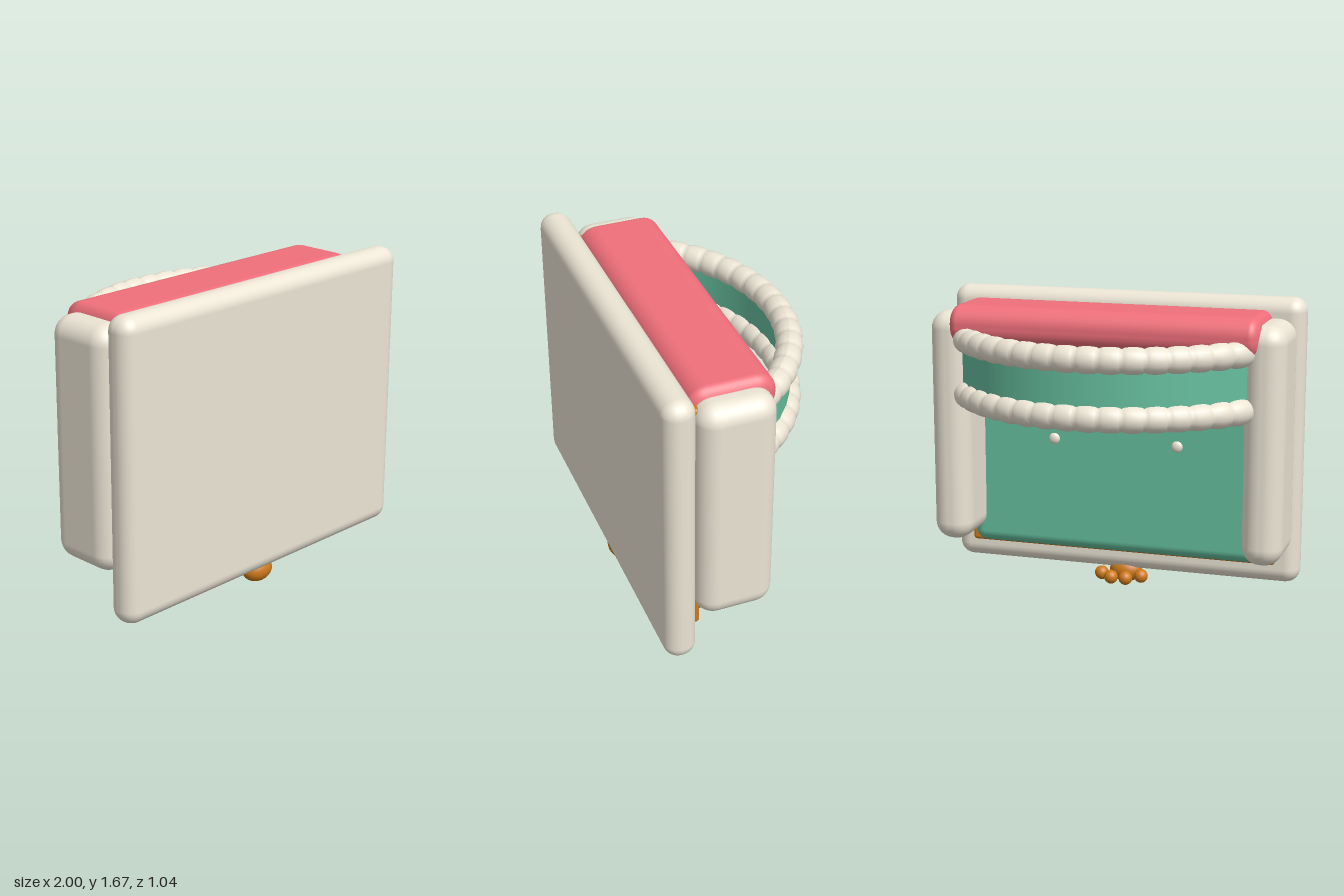
import * as THREE from 'three';
import { RoundedBoxGeometry } from 'three/addons/geometries/RoundedBoxGeometry.js';

const material = (color) => new THREE.MeshStandardMaterial({ color });
const cream = material(0xece5d5);
const green = material(0x66bf9f);
const red = material(0xf0707b);
const orange = material(0xcf7a1b);

// Carry strap arc, seen from above
const ARC_R = 0.925, ARC_Z = 0.47, ARC_HALF = 0.99;
const arcPoint = (a, y, r = ARC_R) => new THREE.Vector3(Math.sin(a) * r, y, ARC_Z - Math.cos(a) * r);

class StrapArc extends THREE.Curve {
  constructor(y) {
    super();
    this.y = y;
  }
  getPoint(t, target = new THREE.Vector3()) {
    return target.copy(arcPoint((t * 2 - 1) * ARC_HALF, this.y));
  }
}

export function createModel() {
  const model = new THREE.Group();

  const add = (name, geometry, mat, x = 0, y = 0, z = 0) => {
    const mesh = new THREE.Mesh(geometry, mat);
    mesh.name = name;
    mesh.position.set(x, y, z);
    model.add(mesh);
    return mesh;
  };

  // Rounded box given by its limits; squash narrows the rounding along x
  const pad = (name, [x0, x1], [y0, y1], [z0, z1], radius, mat, squash = 1) => {
    const geometry = new RoundedBoxGeometry((x1 - x0) / squash, y1 - y0, z1 - z0, 4, radius);
    geometry.scale(squash, 1, 1);
    return add(name, geometry, mat, (x0 + x1) / 2, (y0 + y1) / 2, (z0 + z1) / 2);
  };

  // Padded body
  pad('frontPanel', [-1, 1], [0.09, 1.67], [0.35, 0.52], 0.08, cream);
  pad('backPanel', [-0.84, 0.84], [0.23, 1.54], [0.21, 0.35], 0.065, green);
  pad('trimPlate', [-0.88, 0.88], [0.21, 1.55], [0.3, 0.34], 0.019, orange);
  pad('topRoll', [-0.855, 0.855], [1.4, 1.62], [-0.11, 0.345], 0.1, red, 0.6);
  pad('sidePadLeft', [0.76, 0.98], [0.3, 1.58], [-0.075, 0.335], 0.1, cream);
  pad('sidePadRight', [-0.98, -0.76], [0.3, 1.58], [-0.075, 0.335], 0.1, cream);

  // Curved strap band
  const band = new THREE.Shape();
  const a0 = Math.PI / 2 - ARC_HALF, a1 = Math.PI / 2 + ARC_HALF;
  band.absarc(0, 0, ARC_R + 0.012, a0, a1, false);
  band.absarc(0, 0, ARC_R - 0.012, a1, a0, true);
  const bandGeometry = new THREE.ExtrudeGeometry(band, { depth: 0.3, bevelEnabled: false, curveSegments: 48 });
  bandGeometry.rotateX(-Math.PI / 2);
  add('strapBand', bandGeometry, green, 0, 1.135, ARC_Z);

  // Beaded cords along both edges of the strap
  const BEADS = 16, STEPS = 8, SIDES = 20;
  for (const [name, y] of [['upperCord', 1.435], ['lowerCord', 1.135]]) {
    const curve = new StrapArc(y);
    const geometry = new THREE.TubeGeometry(curve, BEADS * STEPS, 0.07, SIDES, false);
    const position = geometry.attributes.position;
    const vertex = new THREE.Vector3();
    for (let i = 0; i < position.count; i++) {
      const ring = Math.floor(i / (SIDES + 1));
      const centre = curve.getPointAt(ring / (BEADS * STEPS));
      const swell = Math.sqrt(Math.abs(Math.sin((Math.PI * ring) / STEPS)));
      vertex.fromBufferAttribute(position, i).sub(centre).multiplyScalar(0.86 + 0.15 * swell).add(centre);
      position.setXYZ(i, vertex.x, vertex.y, vertex.z);
    }
    geometry.computeVertexNormals();
    add(name, geometry, cream);
    for (const side of [-1, 1]) {
      const end = arcPoint(side * ARC_HALF, y);
      add(name + 'End', new THREE.SphereGeometry(0.062, 20, 12), cream, end.x, end.y, end.z);
    }
  }

  // Small studs on the back panel
  for (const x of [-0.35, 0.35]) {
    add('stud', new THREE.SphereGeometry(0.032, 16, 10), cream, x, 0.86, 0.21).scale.z = 0.6;
  }

  // Paw under the front panel
  add('pawPad', new THREE.SphereGeometry(0.07, 24, 16), orange, 0, 0.073, 0.428).scale.set(1.33, 1, 1);
  for (const [x, z] of [[0.115, 0.335], [0.042, 0.272]]) {
    for (const side of [-1, 1]) {
      add('pawToe', new THREE.SphereGeometry(0.039, 20, 14), orange, side * x, 0.07, z);
    }
  }

  return model;
}
